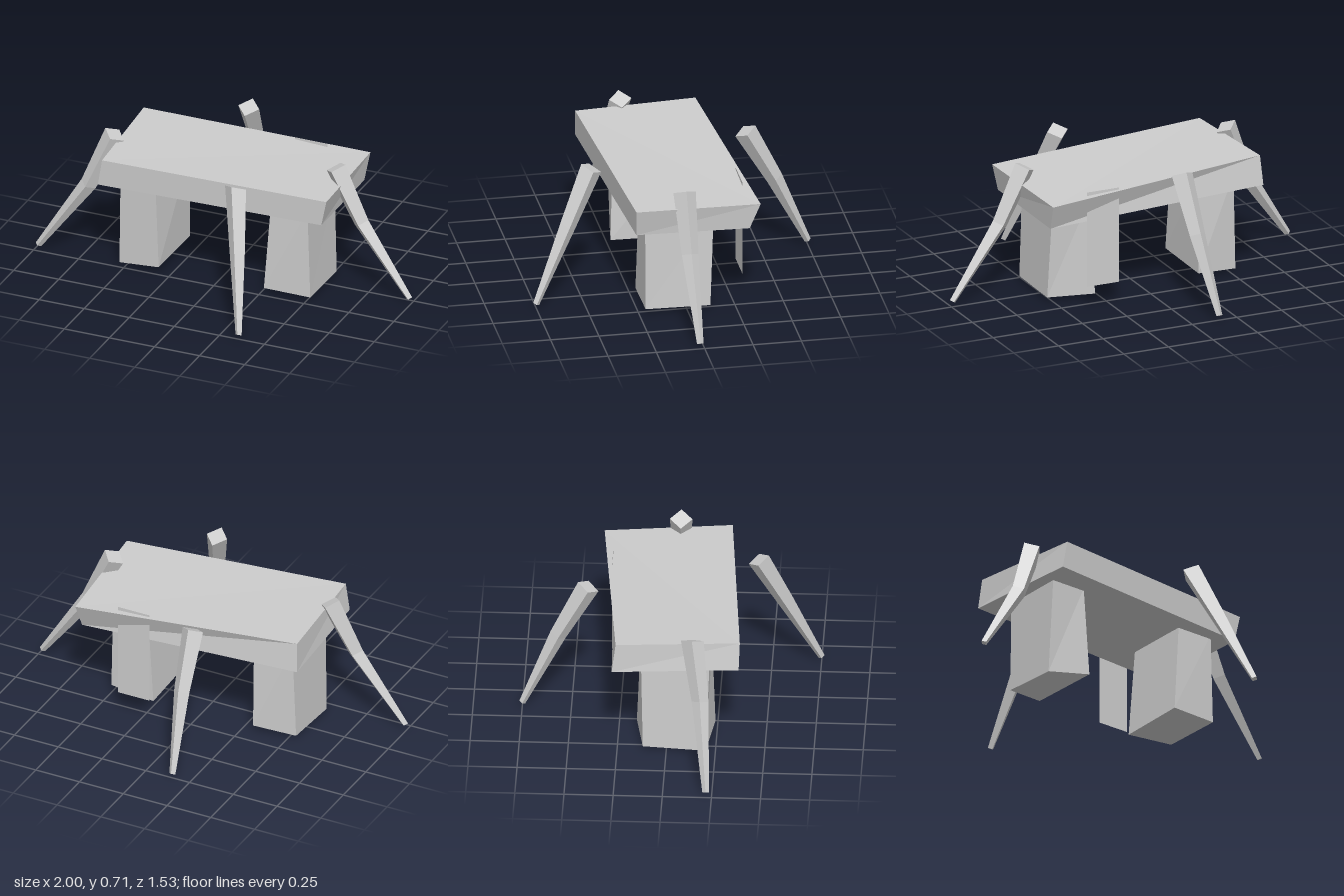
import * as THREE from 'three';

// Skin four-cornered sections, bottom to top, corners counter-clockwise from above
function loft(sections) {
  const pos = [];
  const quad = (a, b, c, d) => pos.push(...a, ...b, ...c, ...a, ...c, ...d);
  for (let s = 0; s < sections.length - 1; s++) {
    const lo = sections[s], hi = sections[s + 1];
    for (let i = 0; i < 4; i++) {
      const j = (i + 1) % 4;
      quad(lo[i], lo[j], hi[j], hi[i]);
    }
  }
  const [a, b, c, d] = sections[0];
  quad(d, c, b, a);
  quad(...sections[sections.length - 1]);
  const geo = new THREE.BufferGeometry();
  geo.setAttribute('position', new THREE.Float32BufferAttribute(pos, 3));
  geo.computeVertexNormals();
  return geo;
}

// Diamond sections along a bent leg, tilted up towards its outer side
function legGeometry(ox, oz, path) {
  const sizes = [0.017, 0.043, 0.058];
  return loft(path.map(([x, y, z], k) => {
    const h = sizes[k], out = h * 0.89, up = h * 0.45;
    return [
      [x + ox * out, y + up, z + oz * out],
      [x + oz * h, y, z - ox * h],
      [x - ox * out, y - up, z - oz * out],
      [x - oz * h, y, z + ox * h],
    ];
  }));
}

export function createModel() {
  const model = new THREE.Group();
  const grey = new THREE.MeshStandardMaterial({ color: 0xcccccc, flatShading: true, side: THREE.DoubleSide });
  grey.name = 'plain grey';
  const add = (name, geo) => {
    const mesh = new THREE.Mesh(geo, grey);
    mesh.name = name;
    model.add(mesh);
    return mesh;
  };

  // Skewed table slab; corners run front right, front left, back left, back right of the model
  add('tableTop', loft([
    [[-0.59, 0.515, 0.37], [0.61, 0.485, 0.28], [0.59, 0.465, -0.31], [-0.62, 0.505, -0.275]],
    [[-0.565, 0.66, 0.375], [0.64, 0.625, 0.285], [0.6, 0.6, -0.365], [-0.61, 0.66, -0.255]],
  ]));

  // Two thick block supports
  add('rightBlock', loft([
    [[-0.545, 0.003, 0.2], [-0.31, 0.04, 0.24], [-0.31, 0.035, -0.16], [-0.535, 0.015, -0.12]],
    [[-0.53, 0.53, 0.22], [-0.335, 0.52, 0.225], [-0.305, 0.52, -0.14], [-0.52, 0.53, -0.13]],
  ]));
  add('leftBlock', loft([
    [[0.265, 0.03, 0.22], [0.52, 0.025, 0.215], [0.52, 0.02, -0.12], [0.265, 0.012, -0.15]],
    [[0.3, 0.51, 0.21], [0.505, 0.51, 0.215], [0.5, 0.51, -0.14], [0.3, 0.51, -0.14]],
  ]));

  // Four thin bent legs, each from tip through knee to top
  const legs = {
    rightLeg: [-1, 0, [[-0.985, 0.025, 0.22], [-0.725, 0.405, 0.18], [-0.6, 0.69, 0.135]]],
    leftLeg: [1, 0, [[0.985, 0.025, 0.02], [0.72, 0.405, 0.022], [0.58, 0.69, 0.025]]],
    frontLeg: [0, 1, [[0.357, 0.027, 0.75], [0.27, 0.41, 0.57], [0.203, 0.69, 0.437]]],
    backLeg: [0, -1, [[-0.152, 0.027, -0.75], [-0.113, 0.41, -0.57], [-0.098, 0.69, -0.417]]],
  };
  for (const [name, spec] of Object.entries(legs)) add(name, legGeometry(...spec));

  // Flat panel standing through the back edge of the slab
  const panel = add('backPanel', new THREE.PlaneGeometry(0.18, 0.51));
  panel.position.set(0.295, 0.375, -0.31);

  return model;
}
